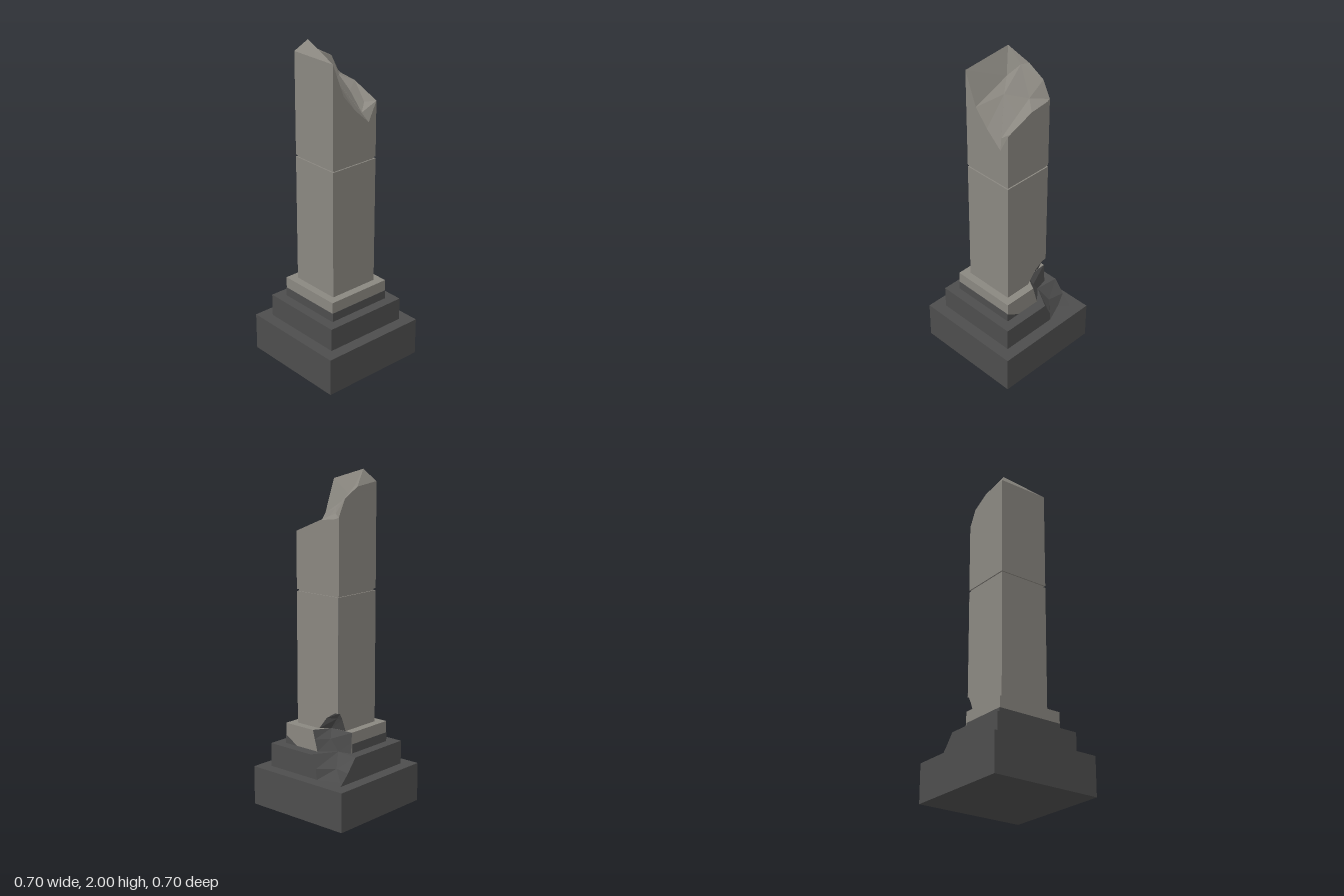
import * as THREE from 'three';

const stone = new THREE.MeshStandardMaterial({ color: 0x8a8780 });
const darkStone = new THREE.MeshStandardMaterial({ color: 0x4d4d4d });
stone.name = 'pale stone';
darkStone.name = 'dark stone';

// Flat-shaded mesh from a list of triangles, each with three [x, y, z] corners
function facets(name, tris, material) {
  const geo = new THREE.BufferGeometry();
  geo.setAttribute('position', new THREE.Float32BufferAttribute(tris.flat(2), 3));
  geo.computeVertexNormals();
  const mesh = new THREE.Mesh(geo, material);
  mesh.name = name;
  return mesh;
}

const quad = (a, b, c, d) => [[a, b, c], [a, c, d]];

// Square section with its back right corner broken away:
// za = where the break meets the right side, (ix, iz) = deepest point, xb = where it meets the back
function section(h, y, za, ix, iz, xb) {
  return [[-h, y, h], [h, y, h], [h, y, za], [ix, y, iz], [xb, y, -h], [-h, y, -h]];
}

function cap(ring, up) {
  const outline = ring.map(p => new THREE.Vector2(p[0], -p[2]));
  return THREE.ShapeUtils.triangulateShape(outline, [])
    .map(([a, b, c]) => up ? [ring[a], ring[b], ring[c]] : [ring[a], ring[c], ring[b]]);
}

// Block lofted through sections; the broken faces are always dark
function brokenBlock(name, rings, material) {
  const sides = [...cap(rings[0], false)], broken = [];
  for (let k = 0; k < rings.length - 1; k++) {
    const lo = rings[k], hi = rings[k + 1];
    for (let i = 0; i < 6; i++) {
      const j = (i + 1) % 6;
      (i === 2 || i === 3 ? broken : sides).push(...quad(lo[i], lo[j], hi[j], hi[i]));
    }
  }
  sides.push(...cap(rings[rings.length - 1], true));
  const group = new THREE.Group();
  group.name = name;
  group.add(facets(name + 'Faces', sides, material), facets(name + 'Break', broken, darkStone));
  return group;
}

function box(name, w, h, d, x, y, z, material) {
  const mesh = new THREE.Mesh(new THREE.BoxGeometry(w, h, d), material);
  mesh.name = name;
  mesh.position.set(x, y, z);
  return mesh;
}

// Upper shaft with a jagged top
function upperShaft() {
  const s = 0.162, base = 1.312;
  const rim = [
    [-s, 1.93, s], [-0.085, 1.73, s], [0, 1.63, s], [0.105, 1.535, s],
    [s, 1.65, s], [s, 1.725, -0.02], [s, 1.74, -0.14],
    [s, 1.75, -s], [0.111, 1.85, -s], [0.004, 1.91, -s], [-s, 1.93, -s],
  ];
  const inner = [
    [-0.108, 2, -0.108], [-0.02, 1.91, -0.12], [-0.06, 1.85, -0.05], [-0.015, 1.78, 0.015],
    [0.09, 1.76, -0.075], [0.09, 1.69, 0.02], [0.135, 1.63, 0.09], [0.08, 1.59, 0.13],
  ];
  const p = [...rim, ...inner];
  const faces = [
    [10, 0, 11], [9, 10, 11], [9, 11, 12], [11, 0, 13], [0, 1, 13], [1, 14, 13], [1, 2, 14],
    [2, 3, 14], [3, 18, 14], [3, 4, 18], [4, 17, 18], [14, 18, 16], [18, 17, 16], [4, 5, 17],
    [5, 16, 17], [5, 15, 16], [5, 6, 15], [6, 7, 15], [7, 8, 15], [8, 12, 15], [8, 9, 12],
    [11, 13, 12], [12, 13, 14], [12, 14, 15], [14, 16, 15],
  ];
  const walls = rim.flatMap((a, i) => {
    const b = rim[(i + 1) % rim.length];
    return quad([a[0], base, a[2]], [b[0], base, b[2]], b, a);
  });
  const floor = quad([-s, base, -s], [s, base, -s], [s, base, s], [-s, base, s]);
  const group = new THREE.Group();
  group.name = 'upperShaft';
  group.add(
    facets('upperShaftWalls', [...walls, ...floor], stone),
    facets('jaggedTop', faces.map(f => f.map(i => p[i])), stone),
  );
  return group;
}

export function createModel() {
  const model = new THREE.Group();
  model.name = 'brokenPillar';

  // Stepped base
  model.add(box('baseSlab', 0.696, 0.237, 0.696, 0, 0.1185, 0, darkStone));
  model.add(brokenBlock('middleStep', [
    section(0.275, 0.237, -0.095, 0.22, -0.225, 0.274),
    section(0.275, 0.3, -0.085, 0.19, -0.17, 0.21),
    section(0.275, 0.38, -0.045, 0.13, -0.13, 0.145),
  ], darkStone));
  model.add(brokenBlock('plinth', [
    section(0.211, 0.38, -0.04, 0.13, -0.13, 0.11),
    section(0.211, 0.45, -0.02, 0.14, -0.08, 0.105),
    section(0.211, 0.505, -0.005, 0.11, -0.06, 0.102),
  ], stone));

  // Dark band round the foot of the plinth, fading out on the right side
  const t = 0.004, h = 0.055, y = 0.38 + h / 2;
  model.add(box('frontBand', 0.422, h, t, 0, y, 0.211, darkStone));
  model.add(box('backBand', 0.31, h, t, -0.056, y, -0.211, darkStone));
  model.add(box('leftBand', t, h, 0.422, -0.211, y, 0, darkStone));
  const x = 0.213;
  model.add(facets('cornerBand', quad(
    [x, 0.38, 0.211], [x, 0.38, 0.12], [x, 0.418, 0.185], [x, 0.435, 0.211],
  ), darkStone));

  // Shaft in two blocks with a narrow joint between
  const s = 0.162;
  model.add(brokenBlock('lowerShaft', [
    section(s, 0.505, -0.01, 0.11, -0.06, 0.102),
    section(s, 0.58, -0.07, 0.135, -0.125, 0.13),
    section(s, 0.618, -0.13, 0.157, -0.155, 0.15),
    section(s, 0.622, -0.161, 0.1618, -0.1618, 0.161),
    section(s, 1.3, -0.161, 0.1618, -0.1618, 0.161),
  ], stone));
  model.add(box('joint', 0.308, 0.03, 0.308, 0, 1.306, 0, stone));
  model.add(upperShaft());
  return model;
}
